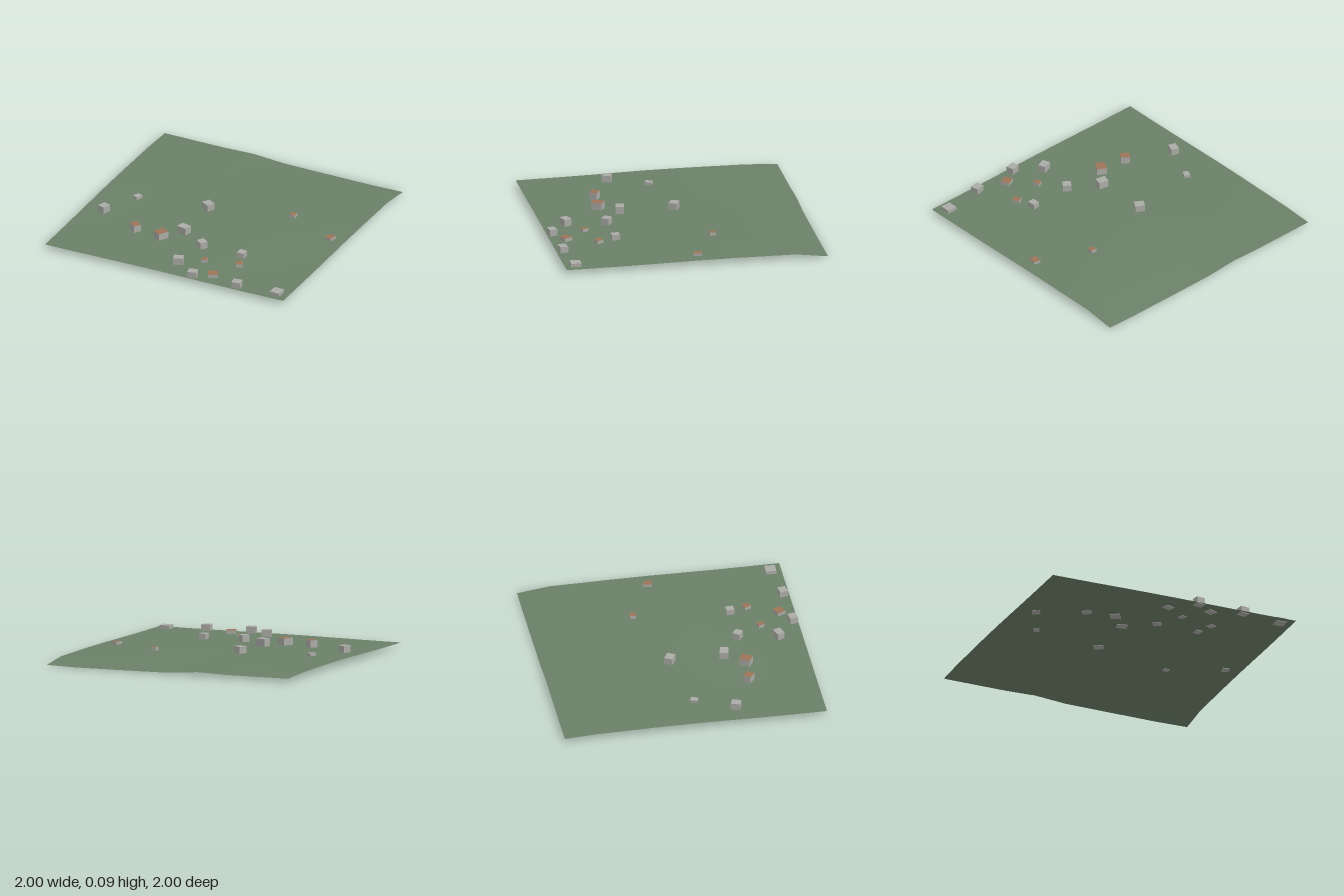
import * as THREE from 'three';

const std = (name, color, side = THREE.FrontSide) => {
  const m = new THREE.MeshStandardMaterial({ color, side });
  m.name = name;
  return m;
};

// Height of the rear edge at each grid column, from -x to +x
const REAR = [0.024, 0.022, 0.021, 0.027, 0.007, 0.004, 0.002, 0, 0.004];

// Gentle rise across the middle; the last row at the back drops away
function groundHeight(x, z) {
  if (z < -0.99) return REAR[Math.round((x + 1) * 4)];
  return 0.034 + 0.008 * Math.exp(-Math.pow((z + 0.1) / 0.5, 2)) + 0.002 * Math.sin(x * 4 + z * 2);
}

// x, z, width, depth, clockwise turn in degrees seen from above, top height, tiled roof
const HOUSES = [
  [-0.155, -0.045, 0.075, 0.065, 30, 0.092, 0],
  [-0.705, 0.04, 0.045, 0.055, 25, 0.063, 0],
  [-0.84, 0.335, 0.06, 0.07, 20, 0.09, 0],
  [-0.495, 0.495, 0.07, 0.06, 35, 0.09, 1],
  [-0.27, 0.515, 0.075, 0.085, 30, 0.09, 1],
  [-0.15, 0.37, 0.08, 0.065, 12, 0.095, 0],
  [0.075, 0.515, 0.065, 0.06, 35, 0.09, 0],
  [0.41, 0.515, 0.055, 0.062, -3, 0.08, 0],
  [0.457, 0.65, 0.05, 0.055, -25, 0.06, 1],
  [0.195, 0.71, 0.043, 0.05, -22, 0.061, 1],
  [0.03, 0.82, 0.075, 0.06, -20, 0.09, 0],
  [0.35, 0.88, 0.075, 0.068, -25, 0.06, 1],
  [0.22, 0.96, 0.07, 0.06, -12, 0.085, 0],
  [0.587, 0.95, 0.07, 0.062, -10, 0.08, 0],
  [0.905, 0.915, 0.08, 0.08, 2, 0.06, 0],
  [0.88, -0.025, 0.055, 0.065, 12, 0.062, 1],
  [0.475, -0.215, 0.045, 0.045, 0, 0.069, 1],
];

export function createModel() {
  const group = new THREE.Group();
  group.name = 'village';
  const grass = std('grass green', 0x6b8068, THREE.DoubleSide);
  const wall = std('stone grey', 0xaaaaa6);
  const tile = std('roof brown', 0x9c7458);

  // Terrain sheet
  const geo = new THREE.PlaneGeometry(2, 2, 8, 8).rotateX(-Math.PI / 2);
  const p = geo.attributes.position;
  for (let i = 0; i < p.count; i++) p.setY(i, groundHeight(p.getX(i), p.getZ(i)));
  geo.computeVertexNormals();
  const terrain = new THREE.Mesh(geo, grass);
  terrain.name = 'terrain';
  group.add(terrain);

  // Houses, with their feet just below the ground
  HOUSES.forEach(([x, z, w, d, turn, top, tiled], i) => {
    const base = groundHeight(x, z) - 0.004;
    const roof = tiled ? tile : wall;
    const house = new THREE.Mesh(
      new THREE.BoxGeometry(w, top - base, d),
      [wall, wall, roof, wall, wall, wall]
    );
    house.position.set(x, (top + base) / 2, z);
    house.rotation.y = -THREE.MathUtils.degToRad(turn);
    house.name = `house${i + 1}`;
    group.add(house);
  });
  return group;
}
